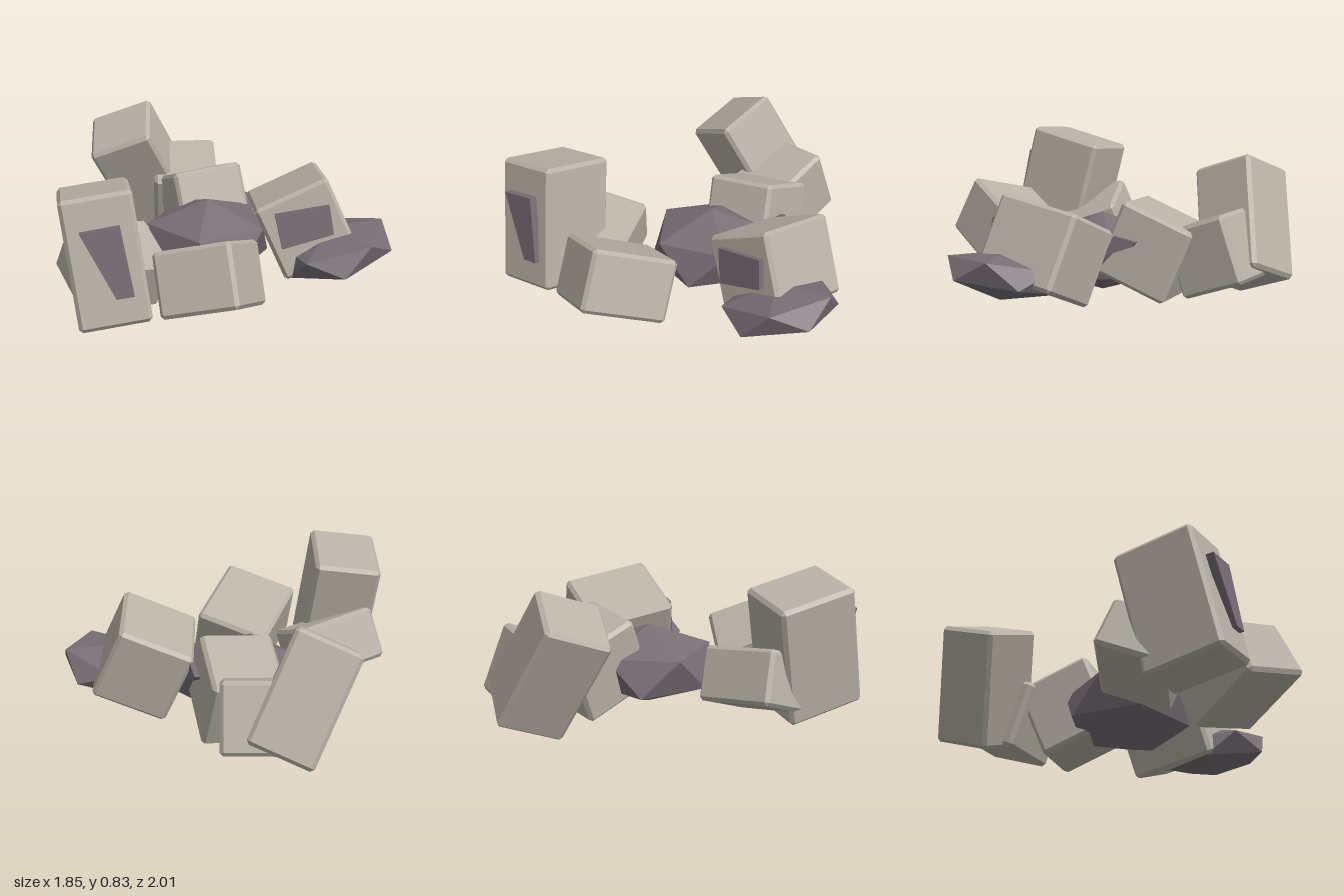
import * as THREE from 'three';
import { ConvexGeometry } from 'three/addons/geometries/ConvexGeometry.js';

const CHAMFER = 0.02;

// Box with every edge and corner cut flat
function chamferedBox(w, h, d, c = CHAMFER) {
  const half = [w / 2, h / 2, d / 2];
  const points = [];
  for (const sx of [-1, 1]) for (const sy of [-1, 1]) for (const sz of [-1, 1]) {
    for (let out = 0; out < 3; out++) {
      const p = half.map((v, i) => (i === out ? v : v - c));
      points.push(new THREE.Vector3(p[0] * sx, p[1] * sy, p[2] * sz));
    }
  }
  return new ConvexGeometry(points);
}

// Group placed by its centre, its sideways direction and its rough up direction
function tumbled(name, centre, side, up) {
  const x = new THREE.Vector3(...side).normalize();
  const z = new THREE.Vector3().crossVectors(x, new THREE.Vector3(...up)).normalize();
  const y = new THREE.Vector3().crossVectors(z, x);
  const group = new THREE.Group();
  group.name = name;
  group.quaternion.setFromRotationMatrix(new THREE.Matrix4().makeBasis(x, y, z));
  group.position.set(...centre);
  return group;
}

// Four-sided shard lying against a block face
function shard(name, corners, material) {
  const shape = new THREE.Shape(corners.map(([x, y]) => new THREE.Vector2(x, y)));
  const geometry = new THREE.ExtrudeGeometry(shape, { depth: 0.045, bevelEnabled: false });
  const mesh = new THREE.Mesh(geometry, material);
  mesh.name = name;
  return mesh;
}

// Flattened twenty-sided boulder with a corner pointing up
function boulder(name, centre, radius, height, yaw, tilt, material) {
  const geometry = new THREE.IcosahedronGeometry(1, 0);
  geometry.rotateZ(0.5536).rotateY(yaw).scale(radius, height, radius);
  const mesh = new THREE.Mesh(geometry, material);
  mesh.name = name;
  mesh.position.set(...centre);
  mesh.rotation.z = tilt;
  return mesh;
}

export function createModel() {
  const model = new THREE.Group();
  model.name = 'rubblePile';

  const stone = new THREE.MeshStandardMaterial({ color: 0xb9b2a7 });
  stone.name = 'paleStone';
  stone.flatShading = true;
  const dark = new THREE.MeshStandardMaterial({ color: 0x786f75 });
  dark.name = 'darkRock';
  dark.flatShading = true;

  // Tumbled blocks: name, centre, size, side direction, up direction
  const blocks = {};
  for (const [name, centre, size, side, up] of [
    ['tallFrontBlock', [-0.648, 0.433, 0.66], [0.38, 0.69, 0.45], [0.355, 0.045, -0.04], [-0.11, 0.66, -0.12]],
    ['sideBlock', [-0.613, 0.257, 0.402], [0.47, 0.30, 0.39], [0.39, -0.07, -0.21], [0.06, 0.30, 0.10]],
    ['frontBlock', [-0.099, 0.284, 0.667], [0.43, 0.35, 0.495], [0.37, 0.10, 0.105], [-0.035, 0.29, -0.13]],
    ['middleBlock', [-0.102, 0.295, -0.365], [0.40, 0.43, 0.43], [0.338, 0.03, -0.10], [-0.074, 0.37, -0.13]],
    ['leaningBlock', [0.432, 0.335, -0.022], [0.44, 0.44, 0.495], [0.38, 0.165, -0.042], [-0.165, 0.40, -0.048]],
    ['backBlock', [-0.22, 0.303, -0.715], [0.375, 0.385, 0.39], [1, 0, -0.05], [0.03, 0.92, 0.35]],
    ['tallBackBlock', [-0.473, 0.42, -0.72], [0.377, 0.648, 0.373], [0.32, 0.126, 0.045], [-0.24, 0.54, 0.20]],
  ]) {
    const group = tumbled(name, centre, side, up);
    const mesh = new THREE.Mesh(chamferedBox(...size), stone);
    mesh.name = name + 'Body';
    group.add(mesh);
    model.add(group);
    blocks[name] = group;
  }

  // Dark shards stuck to block faces
  const tallShard = shard('tallBlockShard', [[-0.107, 0.178], [0.023, -0.19], [0.116, -0.191], [0.1, 0.181]], dark);
  tallShard.position.z = 0.22;
  tallShard.rotation.x = 0.07;
  blocks.tallFrontBlock.add(tallShard);

  const leaningShard = shard('leaningBlockShard', [[-0.123, 0.16], [-0.165, -0.035], [0.126, -0.08], [0.169, 0.08]], dark);
  leaningShard.position.z = 0.235;
  blocks.leaningBlock.add(leaningShard);

  const middleShard = shard('middleBlockShard', [[-0.05, 0.045], [-0.18, 0.02], [-0.18, -0.1], [-0.06, 0.012]], dark);
  middleShard.rotation.y = Math.PI / 2;
  middleShard.position.x = 0.185;
  blocks.middleBlock.add(middleShard);

  // Flattened boulders
  model.add(boulder('centreBoulder', [-0.092, 0.24, -0.022], 0.385, 0.225, 0.14, 0, dark));
  model.add(boulder('sideBoulder', [0.617, 0.215, 0.115], 0.35, 0.135, -0.28, 0.25, dark));

  return model;
}
